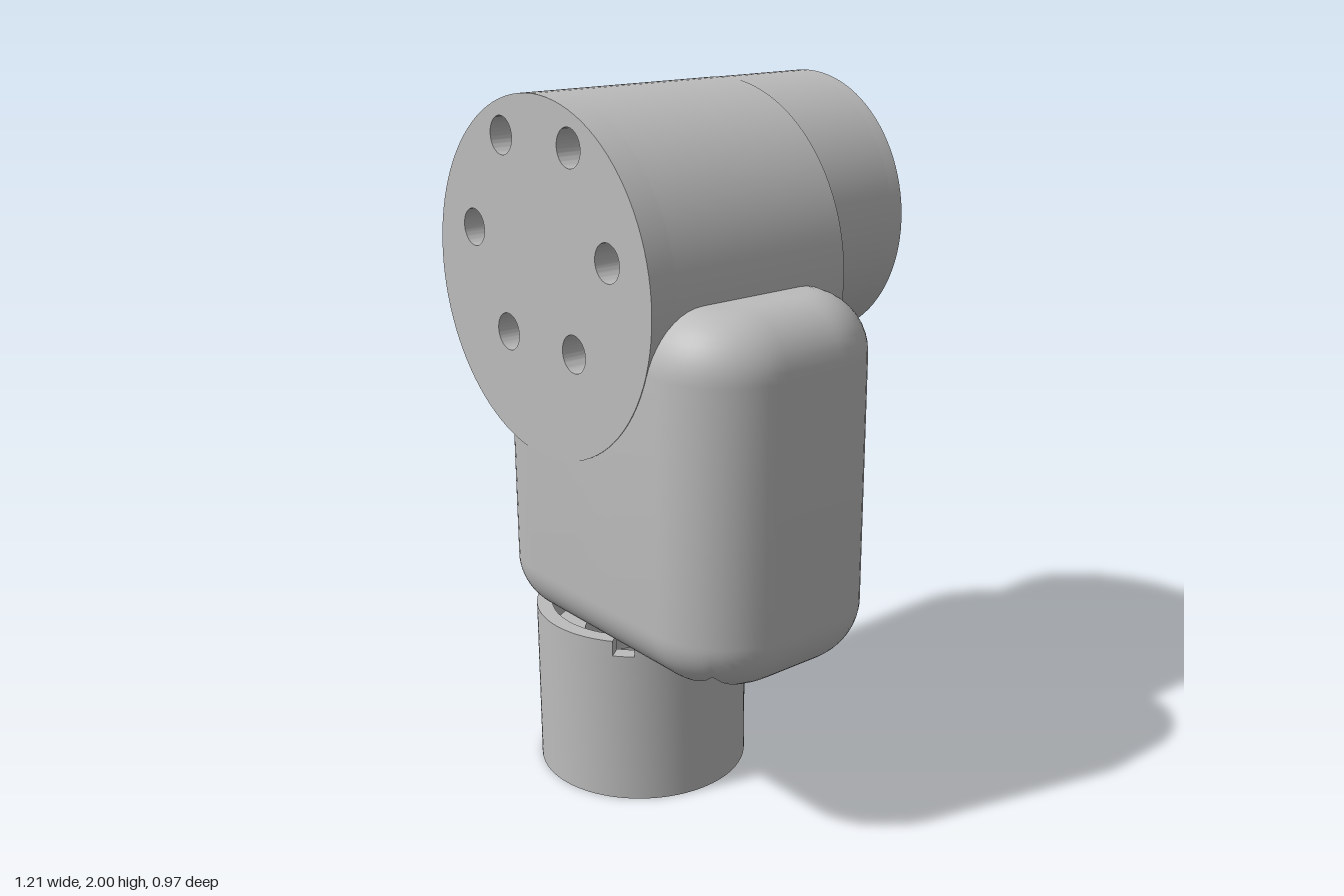
import * as THREE from 'three';
import { toCreasedNormals } from 'three/addons/utils/BufferGeometryUtils.js';

const grey = new THREE.MeshStandardMaterial({ color: 0xbcbcbc, side: THREE.DoubleSide });
grey.name = 'machinedGrey';

const AXIS_X = -0.12;

function part(name, geometry) {
  const mesh = new THREE.Mesh(toCreasedNormals(geometry, 0.5), grey);
  mesh.name = name;
  return mesh;
}

function circlePath(Type, x, y, r) {
  const p = new Type();
  p.absarc(x, y, r, 0, Math.PI * 2, false);
  return p;
}

// Disc facing z, drilled with six bolt holes and optionally a centre hole
function drilledDisc(name, cy, r, z0, z1, boltR, centreR = 0) {
  const shape = circlePath(THREE.Shape, AXIS_X, cy, r);
  for (let i = 0; i < 6; i++) {
    const a = (i * Math.PI) / 3;
    shape.holes.push(circlePath(THREE.Path, AXIS_X + 0.31 * Math.cos(a), 1.61 + 0.31 * Math.sin(a), boltR));
  }
  if (centreR) shape.holes.push(circlePath(THREE.Path, AXIS_X, 1.61, centreR));
  const g = new THREE.ExtrudeGeometry(shape, { depth: z1 - z0, bevelEnabled: false, curveSegments: 48 });
  g.translate(0, 0, z0);
  return part(name, g);
}

// Filleted block, hollowed from below by a square-cornered pocket
function housingGeometry() {
  const a = 0.5225, b = 0.325, R = 0.235, r = 0.16;
  const ha = 0.4225, hb = 0.247, yBottom = 0.493, yTop = 1.51;
  const corner = Math.atan2(hb - b + R, ha - a + R);
  const steps = 7;

  // Outline points with outward normals
  const outline = [];
  const quarter = [];
  for (let i = 0; i <= steps; i++) quarter.push((corner * i) / steps);
  for (let i = 1; i <= steps; i++) quarter.push(corner + ((Math.PI / 2 - corner) * i) / steps);
  const addCorner = (sx, sz, angles) => angles.forEach((t) => outline.push({
    x: sx * (a - R + R * Math.cos(t)), z: sz * (b - R + R * Math.sin(t)),
    nx: sx * Math.cos(t), nz: sz * Math.sin(t),
  }));
  const reversed = [...quarter].reverse();
  addCorner(1, 1, quarter);
  for (const x of [0.1175, 0.0375]) outline.push({ x, z: b, nx: 0, nz: 1 });
  addCorner(-1, 1, reversed);
  addCorner(-1, -1, quarter);
  for (const x of [0.0375, 0.1175]) outline.push({ x, z: -b, nx: 0, nz: -1 });
  addCorner(1, -1, reversed);

  const N = 10;
  const columns = outline.map((p) => {
    const col = [];
    // The part inside the joint barrel stops below its bolt holes
    const limit = p.x < 0.05 ? 1.2 : yTop;
    const at = (inset, y) => col.push([p.x - p.nx * inset, Math.min(y, limit), p.z - p.nz * inset]);
    // Top, closed along the centre line
    col.push([p.x - p.nx * r, limit, 0]);
    for (let k = N; k >= 0; k--) {
      const t = (k / N) * Math.PI / 2;
      at(r * (1 - Math.cos(t)), yTop - r + r * Math.sin(t));
    }
    // Lower fillet, trimmed where it meets the pocket
    const reach = (P, n, h) => (Math.abs(n) > 1e-4 ? (Math.abs(P) - h) / Math.abs(n) : -1);
    const s = Math.max(reach(p.x, p.nx, ha), reach(p.z, p.nz, hb), 0.001);
    const tMax = Math.acos(1 - s / r);
    for (let k = 0; k <= N; k++) {
      const t = (k / N) * tMax;
      at(r * (1 - Math.cos(t)), yBottom + r - r * Math.sin(t));
    }
    // Pocket wall and ceiling
    at(s, 1.1);
    col.push([p.x - p.nx * s, 1.1, 0]);
    return col;
  });

  const levels = columns[0].length;
  const positions = columns.flat(2);
  const index = [];
  for (let i = 0; i < columns.length; i++) {
    const n = (i + 1) % columns.length;
    for (let j = 0; j < levels - 1; j++) {
      const p = i * levels + j, q = n * levels + j;
      index.push(p, q, p + 1, q, q + 1, p + 1);
    }
  }
  const g = new THREE.BufferGeometry();
  g.setAttribute('position', new THREE.Float32BufferAttribute(positions, 3));
  g.setIndex(index);
  g.translate(0.0825, 0, 0.16);
  return g;
}

// Ring segment of the notched collar rim
function rimSegment(from, to) {
  const s = new THREE.Shape();
  s.absarc(0, 0, 0.31, from, to, false);
  s.absarc(0, 0, 0.265, to, from, true);
  s.closePath();
  const g = new THREE.ExtrudeGeometry(s, { depth: 0.045, bevelEnabled: false, curveSegments: 48 });
  g.rotateX(-Math.PI / 2);
  g.translate(0, 0.455, 0);
  return g;
}

export function createModel() {
  const model = new THREE.Group();
  model.name = 'roboticJoint';

  model.add(part('housing', housingGeometry()));

  // Joint barrel with counterbored front
  const barrel = new THREE.Group();
  barrel.name = 'jointBarrel';
  barrel.add(
    drilledDisc('barrelFront', 1.51, 0.49, 0.407, 0.487, 0.052),
    drilledDisc('barrelBody', 1.51, 0.49, -0.165, 0.407, 0.03),
  );
  model.add(barrel);

  // Output flange with a shallow centre recess
  const flange = new THREE.Group();
  flange.name = 'outputFlange';
  flange.add(
    drilledDisc('flangeBody', 1.61, 0.39, -0.445, -0.165, 0.03),
    drilledDisc('flangeFace', 1.61, 0.39, -0.487, -0.445, 0.03, 0.135),
  );
  model.add(flange);

  // Base collar: stepped tube with a rim notched twice
  const collar = new THREE.Group();
  collar.name = 'baseCollar';
  collar.position.set(AXIS_X, 0, 0.16);
  const profile = [
    [0.265, 0], [0.31, 0], [0.31, 0.455], [0.265, 0.455], [0.265, 0.4], [0.17, 0.4],
    [0.17, 0.25], [0.215, 0.25], [0.215, 0.18], [0.265, 0.18], [0.265, 0],
  ].map(([x, y]) => new THREE.Vector2(x, y));
  collar.add(part('collarTube', new THREE.LatheGeometry(profile, 96)));
  const notch = 0.82, half = 0.1;
  collar.add(part('collarRimOuter', rimSegment(-notch + half, notch - half)));
  collar.add(part('collarRimInner', rimSegment(notch + half, Math.PI * 2 - notch - half)));
  model.add(collar);

  return model;
}
